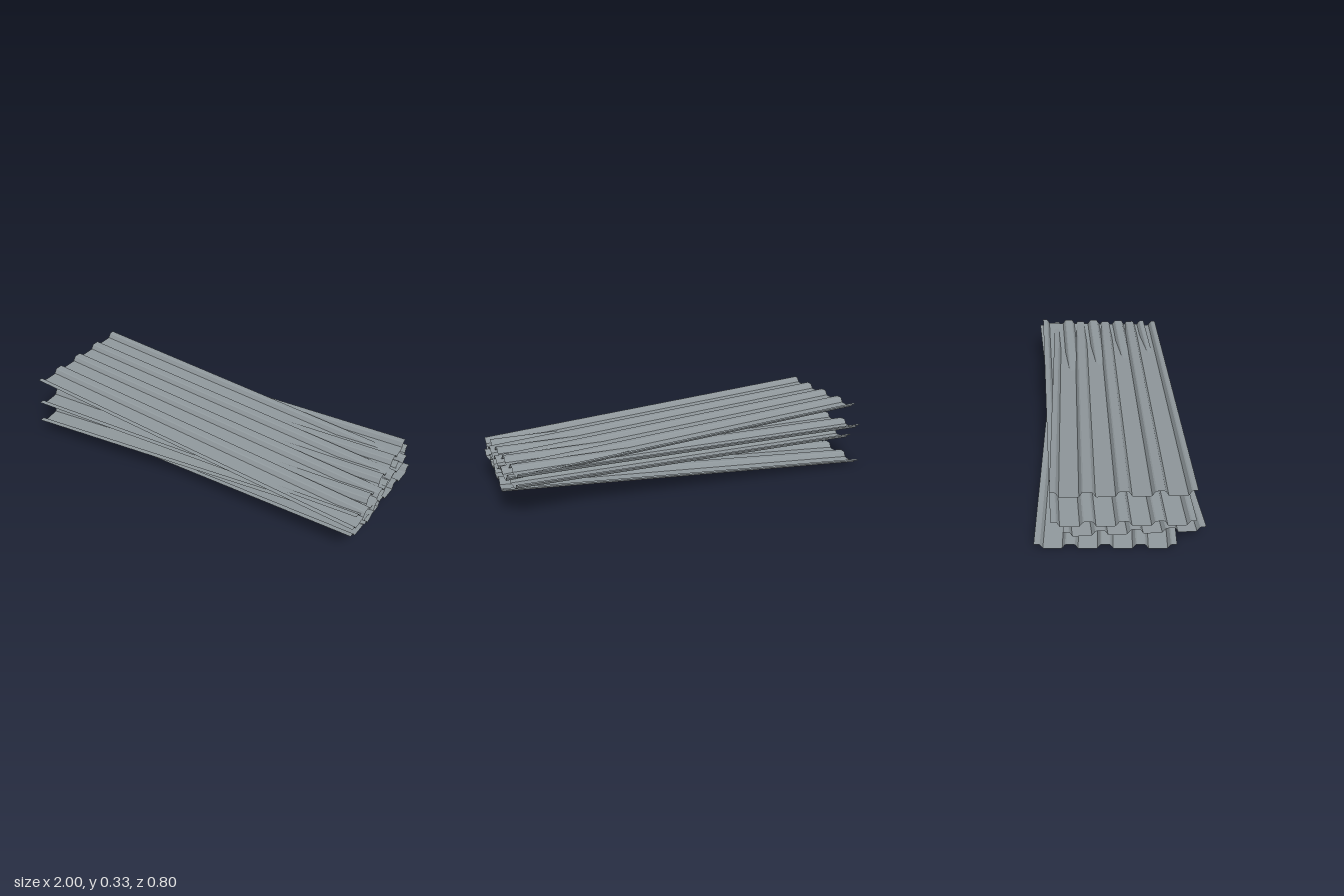
import * as THREE from 'three';

const PITCH = 0.16;

// Cross-section of one sheet as [z, y]: flat pans between chamfered ridges
function sheetProfile() {
  const side = [[0.041, 0], [0.036, 0.002], [0.023, 0.023], [0.017, 0.026]];
  const points = [];
  for (let i = -2; i <= 2; i++) {
    const c = i * PITCH;
    if (i > -2) for (const [z, y] of side) points.push([c - z, y]);
    else points.push([c - 0.005, 0.026]);
    if (i < 2) for (const [z, y] of [...side].reverse()) points.push([c + z, y]);
    else points.push([c + 0.005, 0.026]);
  }
  return points;
}

// Flat strip folded to follow the profile, running along x
function sheetGeometry(length) {
  const profile = sheetProfile();
  const strip = new THREE.PlaneGeometry(length, 1, 1, profile.length - 1).rotateX(-Math.PI / 2);
  const pos = strip.attributes.position;
  profile.forEach(([z, y], row) => {
    for (let k = 0; k < 2; k++) {
      pos.setY(row * 2 + k, y);
      pos.setZ(row * 2 + k, z);
    }
  });
  const geometry = strip.toNonIndexed();
  geometry.computeVertexNormals();
  return geometry;
}

// Sheet laid between the middles of its two ends; roll lifts the back edge
function makeSheet(name, start, end, roll, material) {
  const a = new THREE.Vector3(...start);
  const b = new THREE.Vector3(...end);
  const along = b.clone().sub(a).normalize();
  const across = new THREE.Vector3(-along.z, -roll, along.x);
  across.addScaledVector(along, -across.dot(along)).normalize();
  const up = across.clone().cross(along);

  const mesh = new THREE.Mesh(sheetGeometry(a.distanceTo(b)), material);
  mesh.name = name;
  mesh.quaternion.setFromRotationMatrix(new THREE.Matrix4().makeBasis(along, up, across));
  mesh.position.copy(a).add(b).multiplyScalar(0.5);
  return mesh;
}

export function createModel() {
  const model = new THREE.Group();
  model.name = 'corrugatedSheetStack';

  const steel = new THREE.MeshStandardMaterial({ color: 0x8f979b, flatShading: true, side: THREE.DoubleSide });
  steel.name = 'galvanised steel grey';

  // Loosely stacked sheets, fanned out at one end
  const sheets = [
    ['bottomSheet', [-0.965, 0.003, -0.075], [0.978, 0.114, 0.075], 0.002],
    ['lowerMiddleSheet', [-0.97, 0.086, 0.06], [0.967, 0.145, -0.022], 0.055],
    ['upperMiddleSheet', [-0.998, 0.16, 0.005], [0.942, 0.189, -0.002], 0.055],
    ['topSheet', [-0.97, 0.303, 0.006], [0.967, 0.163, 0.075], 0.012],
  ];
  for (const [name, start, end, roll] of sheets) model.add(makeSheet(name, start, end, roll, steel));

  return model;
}
